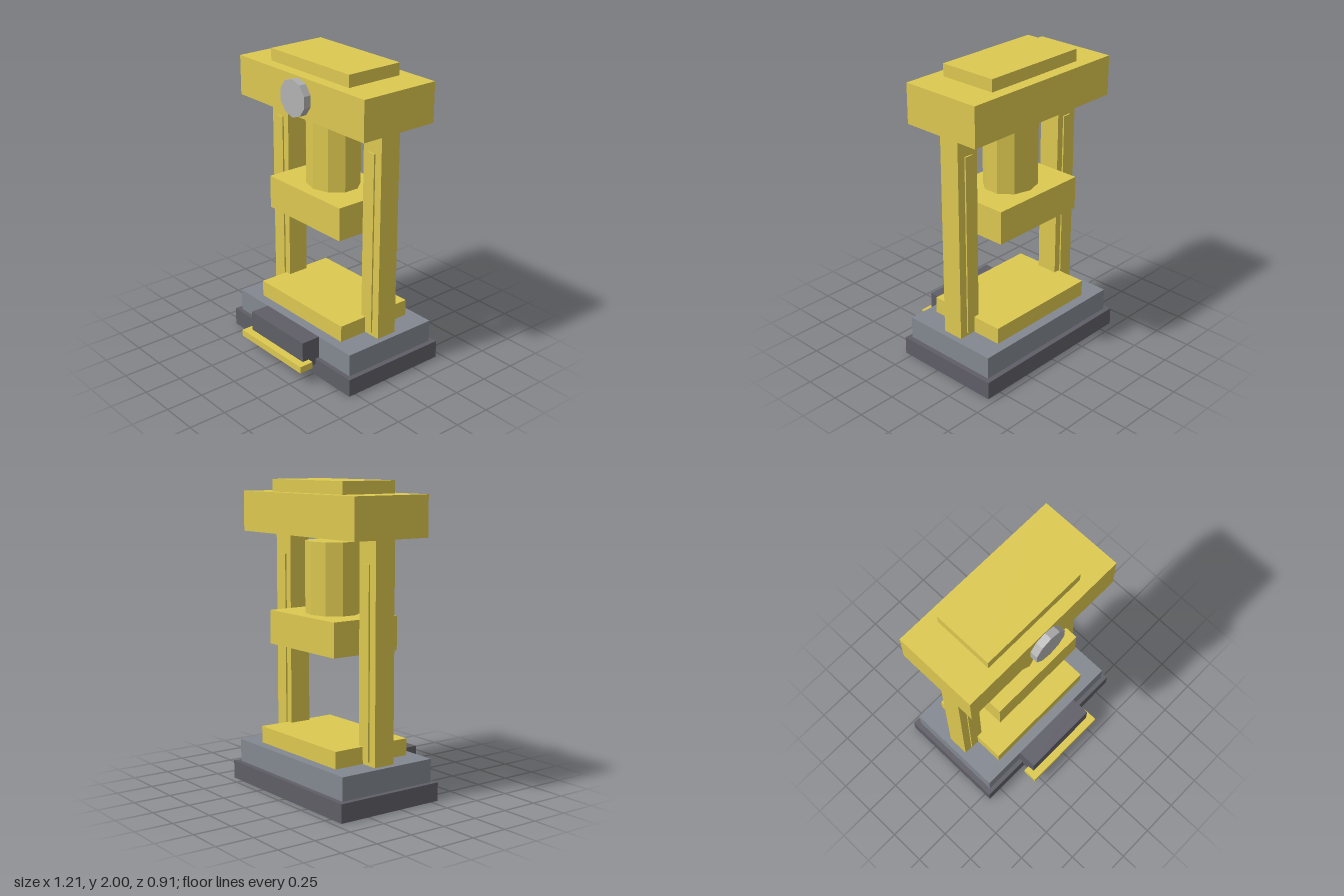
import * as THREE from 'three';

const paint = (color) => new THREE.MeshStandardMaterial({ color, flatShading: true });

export function createModel() {
  const press = new THREE.Group();
  press.name = 'press';
  const yellow = paint(0xdcc850);
  const dark = paint(0x5f5e67);
  const slate = paint(0x838890);
  const steel = paint(0xb2b2b2);

  const add = (name, geometry, material, x, y, z) => {
    const mesh = new THREE.Mesh(geometry, material);
    mesh.name = name;
    mesh.position.set(x, y, z);
    press.add(mesh);
    return mesh;
  };

  // Box given by its extents along each axis
  const block = (name, material, [x0, x1], [y0, y1], [z0, z1]) =>
    add(name, new THREE.BoxGeometry(x1 - x0, y1 - y0, z1 - z0), material,
      (x0 + x1) / 2, (y0 + y1) / 2, (z0 + z1) / 2);

  // Stepped foundation
  block('basePlate', dark, [-0.605, 0.605], [0, 0.12], [-0.455, 0.3]);
  block('baseStep', slate, [-0.57, 0.57], [0.12, 0.27], [-0.42, 0.27]);

  // Front housing with foot pedal
  block('frontHousing', dark, [-0.27, 0.27], [0.08, 0.27], [0.27, 0.403]);
  block('footPedal', yellow, [-0.31, 0.31], [0.09, 0.135], [0.355, 0.455]);

  // Work bed
  block('bed', yellow, [-0.41, 0.41], [0.27, 0.38], [-0.353, 0.203]);

  // Columns, each with a raised guide strip on front and back
  for (const [side, s] of [['left', 1], ['right', -1]]) {
    const span = (a, b) => (s > 0 ? [a, b] : [-b, -a]);
    block(side + 'Column', yellow, span(0.37, 0.53), [0.27, 1.66], [-0.145, 0]);
    block(side + 'GuideStrips', yellow, span(0.417, 0.475), [0.295, 1.51], [-0.155, 0.01]);
  }

  // Ram and its slightly flattened ten-sided piston
  block('ram', yellow, [-0.347, 0.347], [0.94, 1.16], [-0.32, 0.17]);
  const piston = add('piston', new THREE.CylinderGeometry(1, 1, 0.46, 10), yellow, 0, 1.39, -0.074);
  piston.scale.set(0.186, 1, 0.168);

  // Crown beam, cap and round front knob
  block('crown', yellow, [-0.597, 0.597], [1.66, 1.92], [-0.355, 0.203]);
  block('crownCap', yellow, [-0.373, 0.373], [1.92, 2], [-0.276, 0.124]);
  const knob = add('knob', new THREE.CylinderGeometry(0.121, 0.121, 0.05, 10), steel, 0, 1.79, 0.228);
  knob.rotation.x = Math.PI / 2;

  return press;
}
